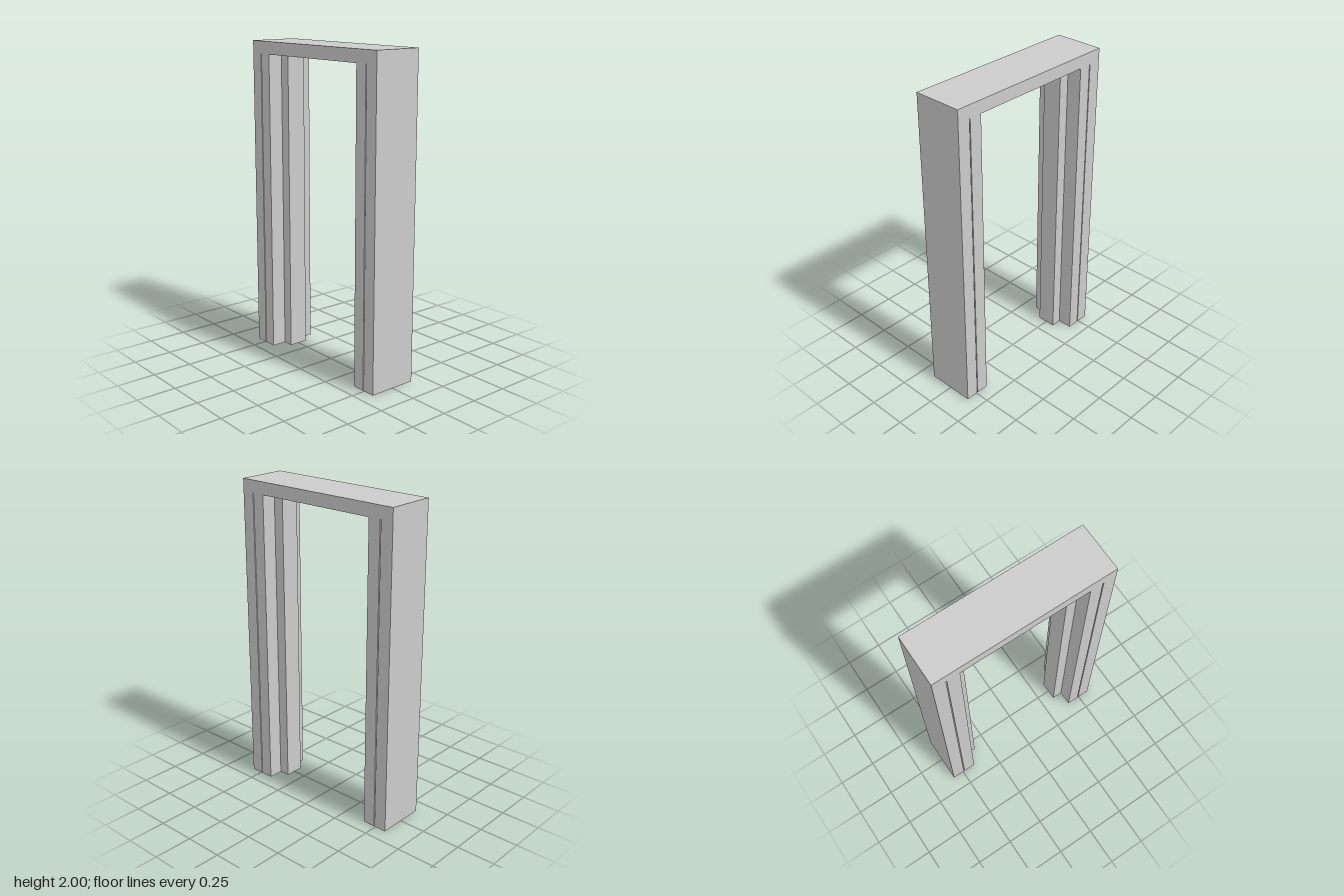
import * as THREE from 'three';

const HEIGHT = 2, HEAD_BOTTOM = 1.921;
const OUTER = 0.576, INNER = 0.409, STOP = 0.341; // x of the jamb faces and stop face
const DEPTH = 0.157, STOP_DEPTH = 0.062;          // half depths along z
const GROOVE_X = 0.4915, GROOVE_HALF = 0.003, GROOVE_DEPTH = 0.03;

// T-shaped jamb section with a thin groove in the front and back faces
function jambGeometry(side) {
  const half = [
    [OUTER, DEPTH],
    [GROOVE_X + GROOVE_HALF, DEPTH],
    [GROOVE_X + GROOVE_HALF, DEPTH - GROOVE_DEPTH],
    [GROOVE_X - GROOVE_HALF, DEPTH - GROOVE_DEPTH],
    [GROOVE_X - GROOVE_HALF, DEPTH],
    [INNER, DEPTH],
    [INNER, STOP_DEPTH],
    [STOP, STOP_DEPTH],
  ];
  const outline = [...half, ...half.map(([x, z]) => [x, -z]).reverse()];
  const shape = new THREE.Shape(outline.map(([x, z]) => new THREE.Vector2(side * x, z)));
  const geometry = new THREE.ExtrudeGeometry(shape, { depth: HEAD_BOTTOM, bevelEnabled: false });
  return geometry.rotateX(-Math.PI / 2);
}

export function createModel() {
  const model = new THREE.Group();
  model.name = 'doorFrame';
  const material = new THREE.MeshStandardMaterial({ color: 0xcccccc });

  const add = (name, geometry) => {
    const mesh = new THREE.Mesh(geometry, material);
    mesh.name = name;
    model.add(mesh);
    return mesh;
  };

  // Two mirrored uprights
  add('leftJamb', jambGeometry(1));
  add('rightJamb', jambGeometry(-1));

  // Flat head across the top
  const headHeight = HEIGHT - HEAD_BOTTOM;
  const head = add('head', new THREE.BoxGeometry(OUTER * 2, headHeight, DEPTH * 2));
  head.position.y = HEAD_BOTTOM + headHeight / 2;

  return model;
}
